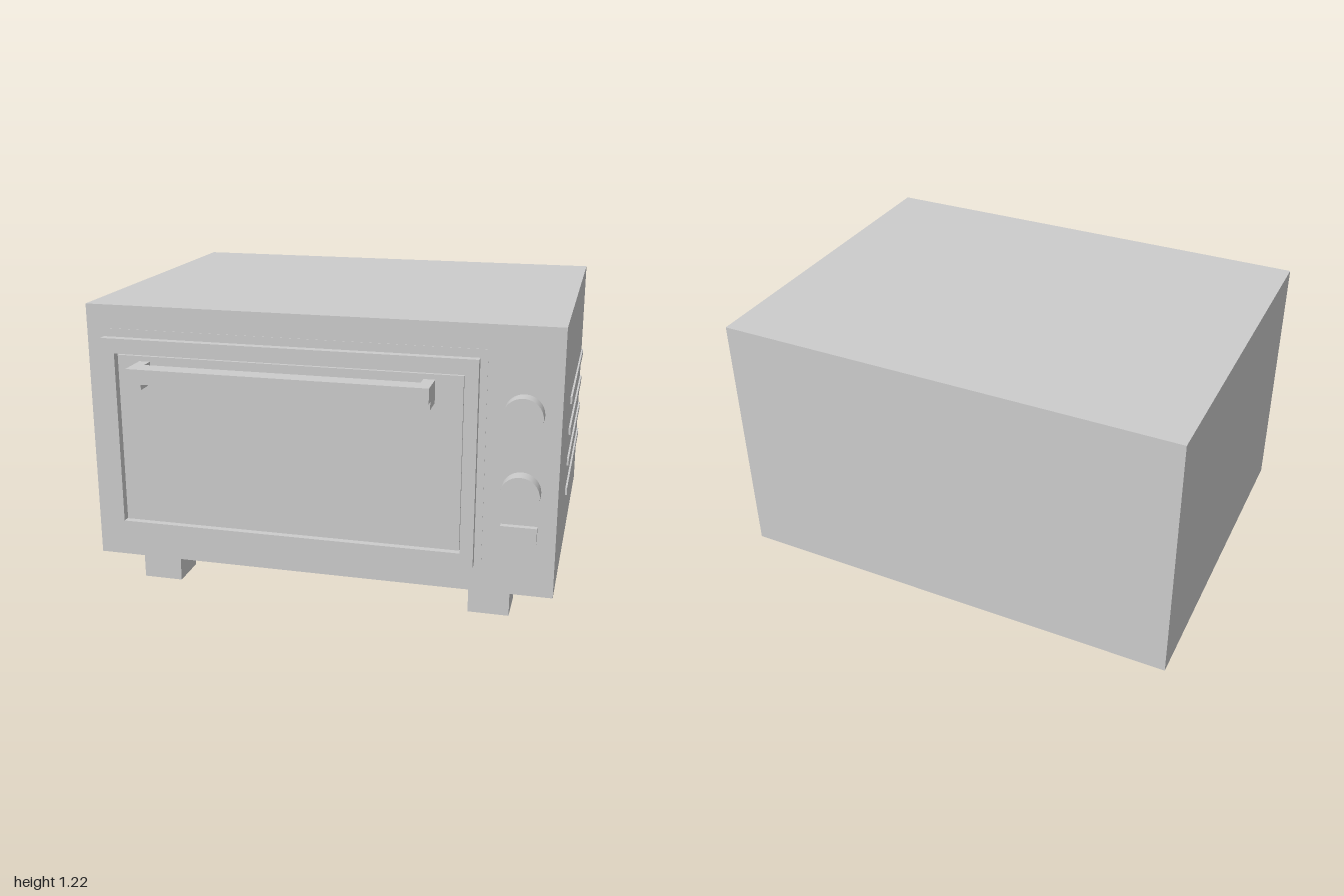
import * as THREE from 'three';

const material = new THREE.MeshStandardMaterial({ color: 0xcccccc });

export function createModel() {
  const oven = new THREE.Group();
  oven.name = 'toasterOven';

  const add = (name, geometry, parent = oven) => {
    const mesh = new THREE.Mesh(geometry, material);
    mesh.name = name;
    parent.add(mesh);
    return mesh;
  };
  // Box given by its lower and upper limits on each axis
  const box = (name, [x0, x1], [y0, y1], [z0, z1], parent) =>
    add(name, new THREE.BoxGeometry(x1 - x0, y1 - y0, z1 - z0), parent)
      .position.set((x0 + x1) / 2, (y0 + y1) / 2, (z0 + z1) / 2);
  const trace = (path, [x0, x1], [y0, y1]) =>
    path.moveTo(x0, y0).lineTo(x1, y0).lineTo(x1, y1).lineTo(x0, y1).closePath();

  // Housing and the shallow surround behind the door
  box('body', [-1, 0.985], [0.1, 1.22], [-0.83, 0.66]);
  box('doorSurround', [-0.92, 0.69], [0.2, 1.12], [0.64, 0.662]);

  // Door frame with a recessed window
  const door = new THREE.Group();
  door.name = 'door';
  oven.add(door);
  const frame = trace(new THREE.Shape(), [-0.925, 0.66], [0.215, 1.085]);
  frame.holes.push(trace(new THREE.Path(), [-0.867, 0.606], [0.273, 1.022]));
  add('doorFrame', new THREE.ExtrudeGeometry(frame, { depth: 0.037, bevelEnabled: false }), door)
    .position.z = 0.66;
  box('window', [-0.86, 0.6], [0.277, 1.012], [0.66, 0.677], door);

  // Door handle: bar on two brackets
  box('handleBar', [-0.755, 0.49], [0.933, 0.995], [0.75, 0.83], door);
  for (const x of [-0.755, 0.443])
    box('handleBracket', [x, x + 0.047], [0.9, 0.995], [0.695, 0.795], door);

  // Control knobs and button
  for (const y of [0.87, 0.55]) {
    const knob = add('knob', new THREE.CylinderGeometry(0.08, 0.08, 0.065, 32));
    knob.rotation.x = Math.PI / 2;
    knob.position.set(0.838, y, 0.6925);
  }
  box('button', [0.763, 0.91], [0.34, 0.405], [0.66, 0.685]);

  // Vent strips on the left side
  for (const y of [0.825, 0.69, 0.553, 0.417])
    box('ventStrip', [0.992, 1], [y - 0.016, y + 0.016], [-0.63, 0.262]);

  // Feet
  for (const x of [-0.8, 0.64])
    for (const z of [-0.655, 0.488])
      box('foot', [x, x + 0.17], [0, 0.1], [z, z + 0.17]);

  return oven;
}
